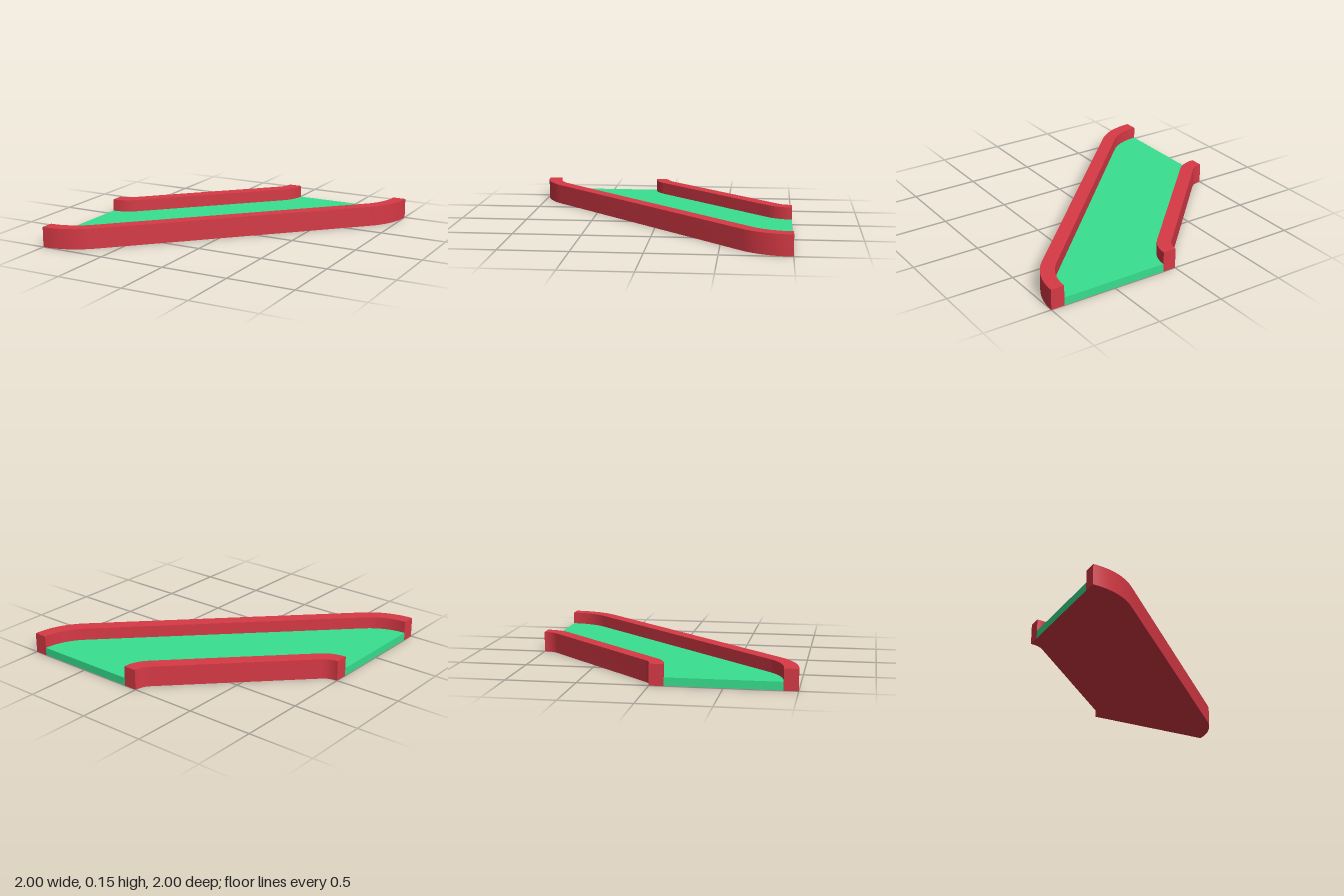
import * as THREE from 'three';
import { toCreasedNormals } from 'three/addons/utils/BufferGeometryUtils.js';

const WALL_HEIGHT = 0.15, FLOOR_HEIGHT = 0.06, WALL_WIDTH = 0.1;
const SEGMENTS = 8;

// Rounded diagonal edge from the left end to the back end, as (x, z) points.
// The second bend mirrors the first across the diagonal x = z.
function edge(centreZ, radius) {
  const bend = [];
  for (let i = 0; i <= SEGMENTS; i++) {
    const a = (i / SEGMENTS) * Math.PI / 4;
    bend.push(new THREE.Vector2(-1 + radius * Math.sin(a), centreZ + radius * Math.cos(a)));
  }
  const mirrored = bend.map((p) => new THREE.Vector2(p.y, p.x)).reverse();
  return [...bend, ...mirrored];
}

// Closed outline between two edges; zSign turns plan z into shape y
function outline(a, b, zSign) {
  const points = [...a, ...[...b].reverse()];
  return new THREE.Shape(points.map((p) => new THREE.Vector2(p.x, p.y * zSign)));
}

// Upright slab between two edges
function slab(name, a, b, bottom, top, material) {
  const flat = new THREE.ExtrudeGeometry(outline(a, b, -1), { depth: top - bottom, bevelEnabled: false });
  flat.rotateX(-Math.PI / 2).translate(0, bottom, 0);
  const mesh = new THREE.Mesh(toCreasedNormals(flat, 0.6), material);
  mesh.name = name;
  return mesh;
}

export function createModel() {
  const red = new THREE.MeshStandardMaterial({ color: 0xd63945 });
  const green = new THREE.MeshStandardMaterial({ color: 0x38df8f });

  const frontOuter = edge(0.5, 0.5);
  const frontInner = edge(0.5, 0.5 - WALL_WIDTH);
  const backInner = edge(-0.15, 0.15 + WALL_WIDTH);
  const backOuter = edge(-0.15, 0.15);

  const group = new THREE.Group();
  group.name = 'diagonalTrack';
  group.add(slab('frontWall', frontOuter, frontInner, 0, WALL_HEIGHT, red));
  group.add(slab('backWall', backInner, backOuter, 0, WALL_HEIGHT, red));
  group.add(slab('floor', frontInner, backInner, 0.002, FLOOR_HEIGHT, green));

  // Red underside of the floor, facing down
  const underside = new THREE.ShapeGeometry(outline(frontInner, backInner, 1));
  underside.rotateX(Math.PI / 2);
  const base = new THREE.Mesh(underside, red);
  base.name = 'underside';
  group.add(base);
  return group;
}
